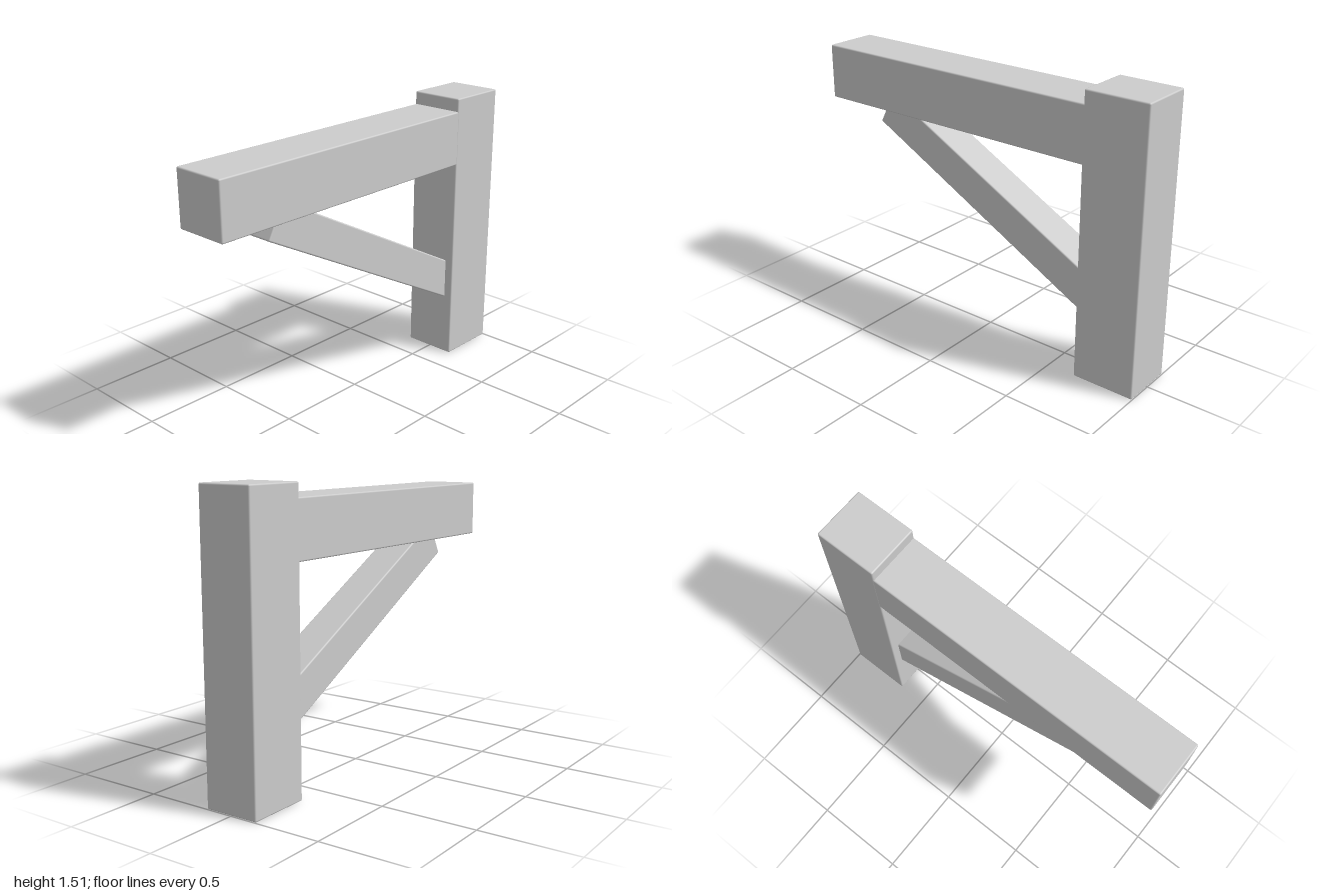
import * as THREE from 'three';
import { RoundedBoxGeometry } from 'three/addons/geometries/RoundedBoxGeometry.js';

export function createModel() {
  const group = new THREE.Group();
  group.name = 'bracket';
  const grey = new THREE.MeshStandardMaterial({ color: 0xcccccc });
  grey.name = 'plain grey';

  // A timber with slightly eased edges
  function timber(name, width, height, depth, y, z) {
    const mesh = new THREE.Mesh(new RoundedBoxGeometry(width, height, depth, 2, 0.008), grey);
    mesh.name = name;
    mesh.position.set(0, y, z);
    group.add(mesh);
    return mesh;
  }

  // Upright post at the back
  timber('post', 0.296, 1.512, 0.342, 0.756, -0.827);

  // Horizontal beam, its rear end housed in the post
  timber('beam', 0.294, 0.296, 1.75, 1.293, 0.125);

  // Diagonal brace, both ends let into the beam and post
  const brace = timber('brace', 0.2, 0.2, 1.7, 0.749, -0.113);
  brace.rotation.x = -0.488;

  return group;
}
